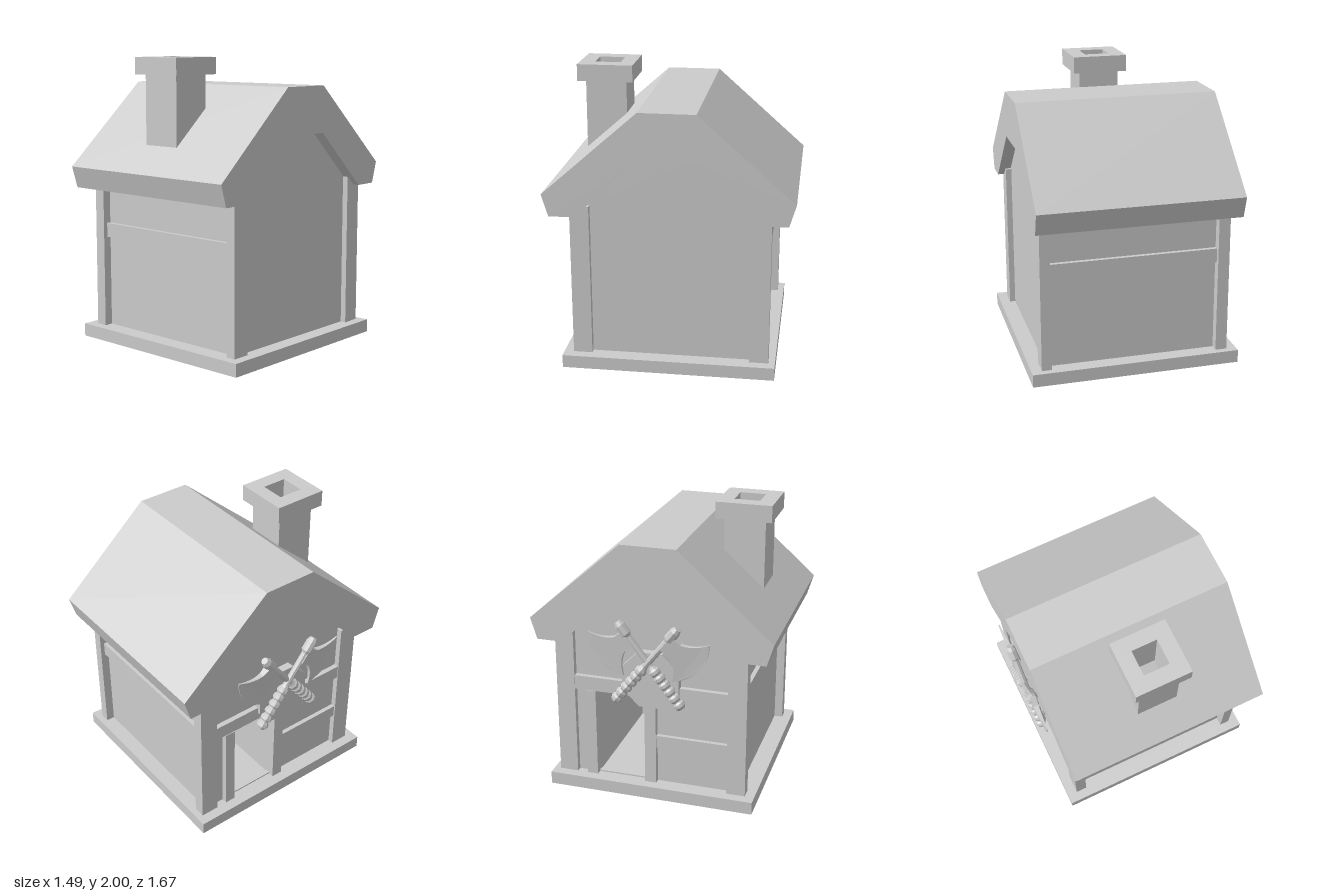
import * as THREE from 'three';

const mat = new THREE.MeshStandardMaterial({ color: 0xcccccc, flatShading: true, side: THREE.DoubleSide });

function add(parent, name, geometry) {
  const mesh = new THREE.Mesh(geometry, mat);
  mesh.name = name;
  parent.add(mesh);
  return mesh;
}

// Box given by its limits on each axis
function box(parent, name, x0, x1, y0, y1, z0, z1) {
  const g = new THREE.BoxGeometry(x1 - x0, y1 - y0, z1 - z0);
  g.translate((x0 + x1) / 2, (y0 + y1) / 2, (z0 + z1) / 2);
  return add(parent, name, g);
}

const polygon = (pts) => new THREE.Shape(pts.map(([a, b]) => new THREE.Vector2(a, b)));
const rect = (a0, a1, b0, b1) => polygon([[a0, b0], [a1, b0], [a1, b1], [a0, b1]]);

// Extrudes a (z, y) outline along x, from x0 to x1
function alongX(shape, x0, x1) {
  const g = new THREE.ExtrudeGeometry(shape, { depth: x1 - x0, bevelEnabled: false });
  return g.rotateY(-Math.PI / 2).translate(x1, 0, 0);
}

// Extrudes an (x, z) outline along y, from y0 to y1
function alongY(shape, y0, y1) {
  const g = new THREE.ExtrudeGeometry(shape, { depth: y1 - y0, bevelEnabled: false });
  return g.rotateX(Math.PI / 2).translate(0, y1, 0);
}

function ring(outer, inner) {
  const s = rect(...outer);
  s.holes.push(rect(...inner));
  return s;
}

// Axe: shaft along y, blade towards +z
function makeAxe() {
  const axe = new THREE.Group();
  axe.name = 'axe';
  const profile = [[0, 0], [0.026, 0]];
  for (let i = 0; i < 6; i++) {
    const y = 0.005 + i * 0.055;
    profile.push([0.03, y], [0.04, y + 0.014], [0.04, y + 0.036], [0.03, y + 0.05]);
  }
  profile.push([0.022, 0.35], [0.022, 0.6], [0.036, 0.62], [0.036, 0.69], [0.024, 0.72], [0, 0.72]);
  add(axe, 'axeShaft', new THREE.LatheGeometry(profile.map(([r, y]) => new THREE.Vector2(r, y)), 8));

  const s = new THREE.Shape();
  s.moveTo(0, 0.53);
  s.lineTo(0.08, 0.53);
  s.quadraticCurveTo(0.16, 0.5, 0.2, 0.4);
  s.quadraticCurveTo(0.37, 0.6, 0.22, 0.78);
  s.quadraticCurveTo(0.16, 0.68, 0.08, 0.65);
  s.lineTo(0, 0.65);
  const g = alongX(s, -0.5, 0.5);
  // Thin the blade towards its cutting edge
  const p = g.attributes.position;
  for (let i = 0; i < p.count; i++) {
    p.setX(i, p.getX(i) * Math.max(0.004, 0.055 * (1 - p.getZ(i) / 0.27)));
  }
  g.computeVertexNormals();
  add(axe, 'axeBlade', g);
  return axe;
}

export function createModel() {
  const house = new THREE.Group();
  house.name = 'house';

  // Base, open underneath
  const foot = [-0.71, 0.74, -0.725, 0.725];
  add(house, 'baseSides', alongY(ring(foot, [-0.7, 0.73, -0.715, 0.715]), 0, 0.09));
  add(house, 'baseTop', alongY(ring(foot, [-0.57, 0.6, -0.59, 0.57]), 0.08, 0.09));

  // Front and back walls with their beams
  box(house, 'frontWall', -0.6, 0.63, 0.08, 1.15, 0.57, 0.6);
  box(house, 'backWall', -0.6, 0.63, 0.08, 1.15, -0.62, -0.59);
  box(house, 'frontBeam', -0.57, 0.6, 0.73, 0.83, 0.6, 0.63);
  box(house, 'backBeam', -0.57, 0.6, 0.73, 0.83, -0.65, -0.62);

  // Gable walls, the right one with the doorway
  const gable = [[-0.6, 0.08], [0.59, 0.08], [0.59, 1.13], [0.19, 1.5], [-0.19, 1.5], [-0.6, 1.13]];
  add(house, 'leftGable', alongX(polygon(gable), 0.6, 0.63));
  const doorWall = polygon(gable);
  doorWall.holes.push(rect(-0.4, -0.05, 0.1, 0.73));
  add(house, 'doorGable', alongX(doorWall, -0.6, -0.57));

  // Corner posts
  for (const [x0, x1] of [[-0.64, -0.56], [0.6, 0.67]]) {
    box(house, 'cornerPost', x0, x1, 0.09, 1.15, 0.53, 0.66);
    box(house, 'cornerPost', x0, x1, 0.09, 1.15, -0.68, -0.55);
  }

  // Doorway trim and passage
  box(house, 'doorBeam', -0.635, -0.6, 0.73, 0.83, -0.55, 0.53);
  box(house, 'lowBeam', -0.63, -0.6, 0.36, 0.45, 0.03, 0.53);
  box(house, 'doorPost', -0.64, -0.58, 0.09, 0.73, -0.475, -0.4);
  box(house, 'doorPost', -0.64, -0.58, 0.09, 0.73, -0.05, 0.03);
  box(house, 'passageFloor', -0.65, 0.35, 0.05, 0.09, -0.41, -0.04);
  box(house, 'passageCeiling', -0.58, 0.35, 0.73, 0.74, -0.41, -0.04);
  box(house, 'passageSide', -0.58, 0.35, 0.05, 0.74, -0.41, -0.4);
  box(house, 'passageSide', -0.58, 0.35, 0.05, 0.74, -0.05, -0.04);
  box(house, 'passageEnd', 0.34, 0.35, 0.05, 0.74, -0.41, -0.04);

  // Roof
  const half = [[0.19, 1.49], [0.62, 1.09], [0.79, 1.09], [0.835, 1.24], [0.19, 1.81]];
  const roof = [...half, ...half.map(([z, y]) => [-z, y]).reverse()];
  add(house, 'roof', alongX(polygon(roof), -0.685, 0.715));

  // Chimney with a hollow flue
  const flue = [-0.085, 0.09, 0.41, 0.585];
  add(house, 'chimneyStack', alongY(ring([-0.14, 0.145, 0.36, 0.64], flue), 1.4, 1.89));
  add(house, 'chimneyCap', alongY(ring([-0.19, 0.195, 0.31, 0.69], flue), 1.885, 2));

  // Crossed axes on a plate above the door
  const plate = new THREE.CylinderGeometry(0.215, 0.215, 0.055, 8);
  plate.rotateY(Math.PI / 8).rotateZ(Math.PI / 2).translate(-0.63, 0.87, 0);
  add(house, 'plate', plate);
  for (const turn of [0, Math.PI]) {
    const holder = new THREE.Group();
    holder.name = 'axeMount';
    const axe = makeAxe();
    axe.position.set(-0.004, 0.72, -0.235);
    axe.rotation.x = 0.663;
    holder.add(axe);
    holder.position.x = -0.705;
    holder.rotation.y = turn;
    house.add(holder);
  }
  return house;
}
